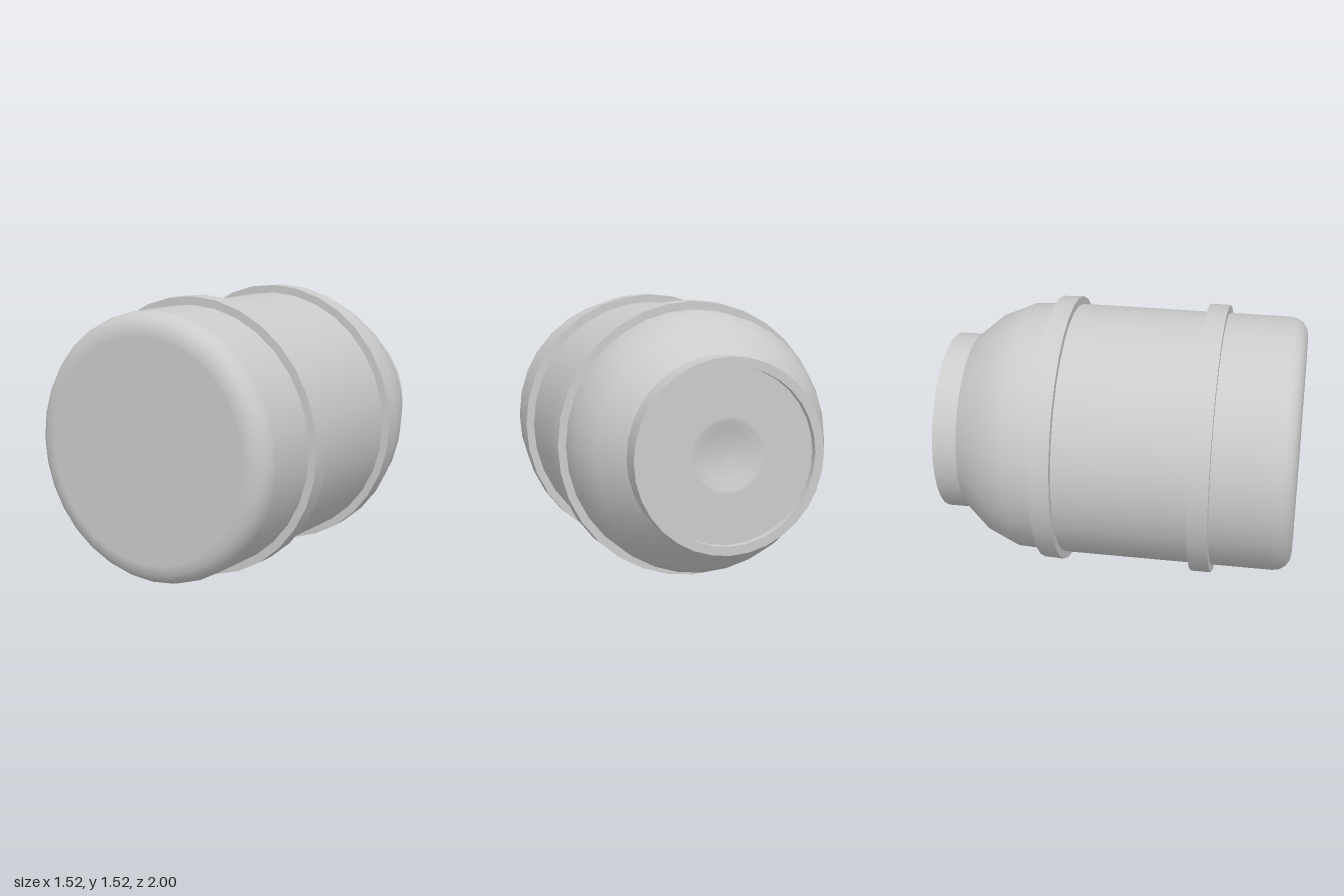
import * as THREE from 'three';

const SIDES = 32;
const AXIS_HEIGHT = 0.762;
const material = new THREE.MeshStandardMaterial({ color: 0xcccccc });

// Turns a [radius, z] profile, listed from back to front, around the z axis.
function turned(name, profile) {
  const points = profile.map(([r, z]) => new THREE.Vector2(r, z));
  const geometry = new THREE.LatheGeometry(points, SIDES).rotateX(Math.PI / 2);
  const mesh = new THREE.Mesh(geometry, material);
  mesh.name = name;
  return mesh;
}

// Raised band: back wall, rim and front wall stay separate for sharp edges.
function band(name, zBack, zFront, rBack, rFront) {
  const group = new THREE.Group();
  group.name = name;
  group.add(
    turned(name + 'BackWall', [[0.69, zBack], [rBack, zBack]]),
    turned(name + 'Rim', [[rBack, zBack], [rFront, zFront]]),
    turned(name + 'FrontWall', [[rFront, zFront], [0.69, zFront]])
  );
  return group;
}

export function createModel() {
  const model = new THREE.Group();
  const jar = new THREE.Group();
  jar.name = 'barrel';
  jar.position.y = AXIS_HEIGHT;
  model.add(jar);

  // Main barrel with a rounded front edge and a flat front face
  const R = 0.717, bevel = 0.1;
  const barrel = [[0.713, -0.4], [R, -0.29], [R, 0.5], [R, 0.88]];
  for (let i = 0; i <= 4; i++) {
    const a = (i / 4) * Math.PI / 2;
    barrel.push([R - bevel + bevel * Math.cos(a), 1 - bevel + bevel * Math.sin(a)]);
  }
  barrel.push([0.6, 1], [0, 1]);
  jar.add(turned('body', barrel));

  // Shoulder narrowing towards the neck
  jar.add(turned('shoulder', [[0.508, -0.866], [0.638, -0.716], [0.706, -0.56], [0.713, -0.4]]));

  // Neck with a recessed end and a shallow central dish
  jar.add(turned('neck', [[0.508, -1], [0.508, -0.866]]));
  jar.add(turned('neckRim', [[0.46, -1], [0.508, -1]]));
  jar.add(turned('recessWall', [[0.46, -0.96], [0.46, -1]]));
  jar.add(turned('recessFloor', [[0, -0.925], [0.07, -0.93], [0.13, -0.943], [0.18, -0.96], [0.2, -0.96], [0.46, -0.96]]));

  // Two raised bands
  jar.add(band('frontBand', 0.444, 0.556, 0.762, 0.762));
  jar.add(band('rearBand', -0.401, -0.289, 0.757, 0.761));

  return model;
}
